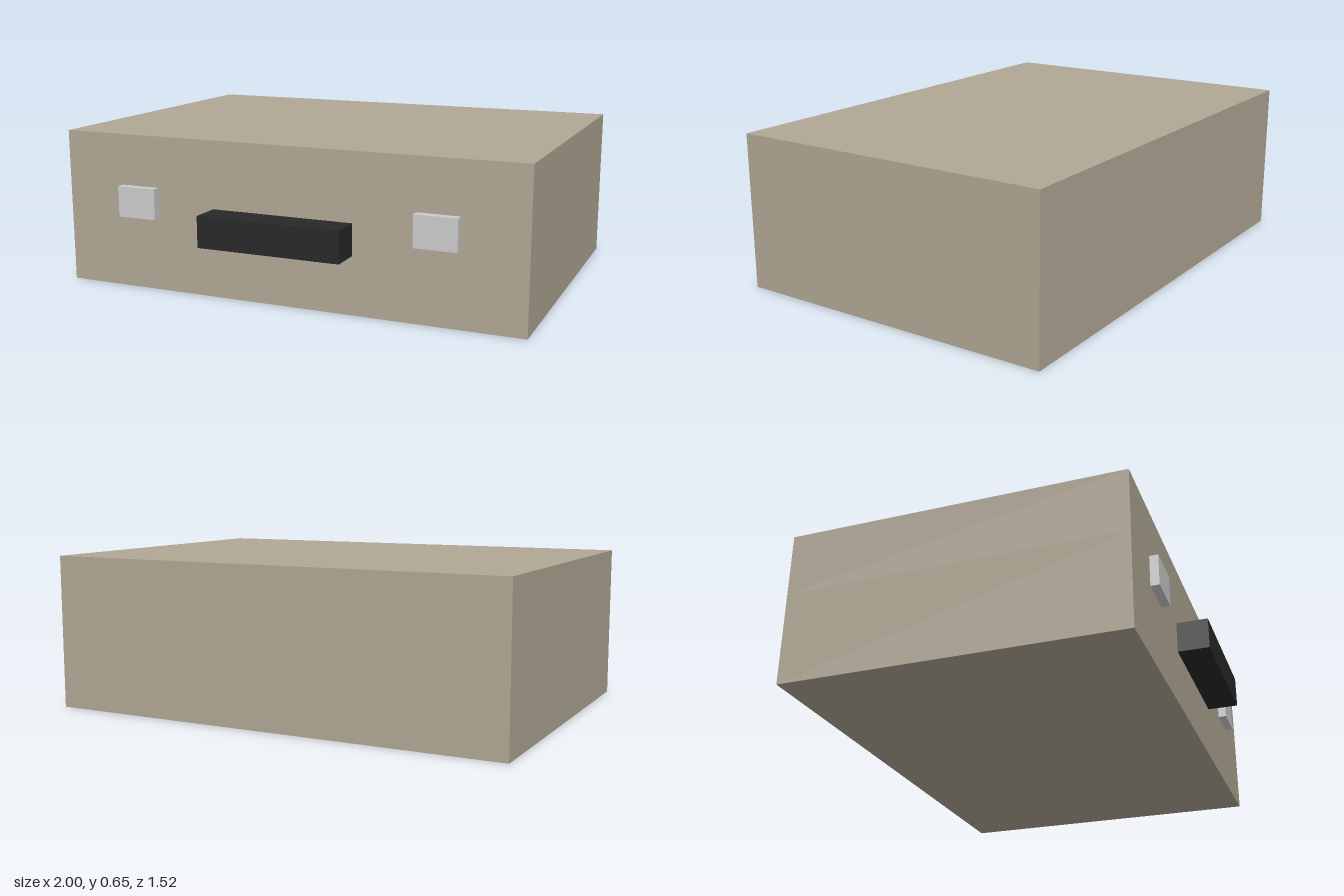
import * as THREE from 'three';

export function createModel() {
  const group = new THREE.Group();
  const shell = new THREE.MeshStandardMaterial({ color: 0xb0a795 });
  const metal = new THREE.MeshStandardMaterial({ color: 0xbcbcbc });
  const grip = new THREE.MeshStandardMaterial({ color: 0x282828 });

  // Box given by its lower and upper corners
  function block(name, material, [x0, y0, z0], [x1, y1, z1]) {
    const mesh = new THREE.Mesh(new THREE.BoxGeometry(x1 - x0, y1 - y0, z1 - z0), material);
    mesh.position.set((x0 + x1) / 2, (y0 + y1) / 2, (z0 + z1) / 2);
    mesh.name = name;
    group.add(mesh);
  }

  // Case: lower half and lid meeting flush at the seam
  const back = -0.76, front = 0.63, seam = 0.39;
  block('caseBase', shell, [-1, 0, back], [1, seam, front]);
  block('caseLid', shell, [-1, seam, back], [1, 0.652, front]);

  // Carrying handle
  block('handle', grip, [-0.305, 0.24, front], [0.305, 0.37, 0.76]);

  // Latches bridging the seam on either side of the handle
  for (const [name, x] of [['leftLatch', 0.65], ['rightLatch', -0.65]]) {
    block(name, metal, [x - 0.087, 0.307, front], [x + 0.087, 0.437, 0.665]);
  }

  return group;
}
